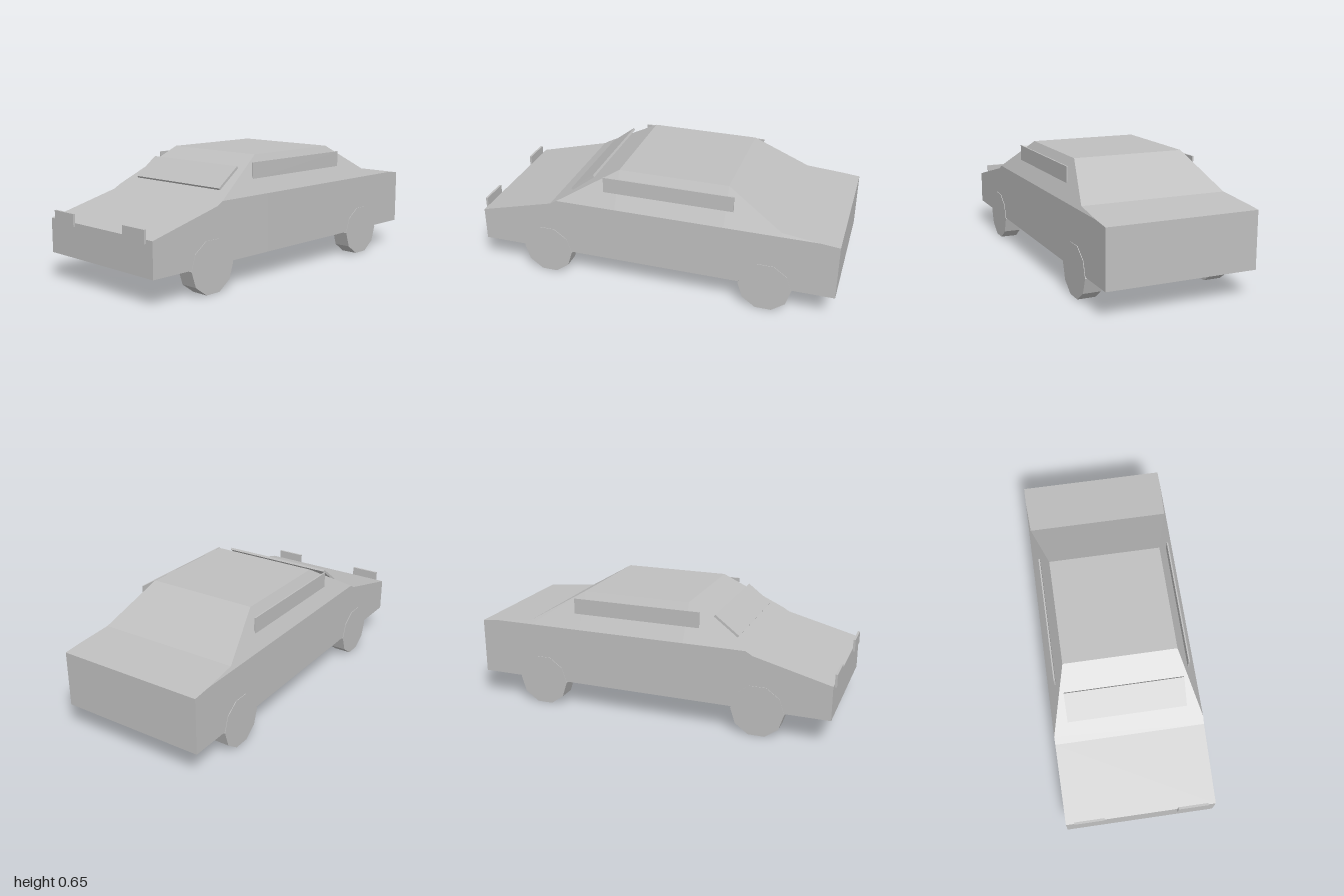
import * as THREE from 'three';

const HALF = 0.405, FLOOR = 0.143, BELT = 0.456;

// [z, roofline height] from nose to tail
const STATIONS = [
  [0.989, 0.327], [0.575, 0.434], [0.537, BELT], [0.2, 0.651],
  [-0.4, 0.651], [-0.7, 0.476], [-0.9, BELT], [-1, 0.446],
];

// Cross-section: upright sides up to the belt line, leaning inwards above it
function section([z, top]) {
  const belt = Math.min(top, BELT);
  const w = HALF - (top - belt) * 0.497;
  return [[HALF, FLOOR], [HALF, belt], [w, top], [-w, top], [-HALF, belt], [-HALF, FLOOR]]
    .map(([x, y]) => new THREE.Vector3(x, y, z));
}

function bodyGeometry() {
  const pos = [];
  const tri = (a, b, c) => {
    if (new THREE.Triangle(a, b, c).getArea() < 1e-7) return;
    for (const p of [a, b, c]) pos.push(p.x, p.y, p.z);
  };
  const rings = STATIONS.map(section);
  for (let i = 0; i < rings.length - 1; i++) {
    const f = rings[i], r = rings[i + 1];
    for (let j = 0; j < 6; j++) {
      const k = (j + 1) % 6;
      tri(f[j], r[j], r[k]);
      tri(f[j], r[k], f[k]);
    }
  }
  // nose and tail panels
  const nose = rings[0], tail = rings[rings.length - 1];
  for (let j = 1; j < 5; j++) {
    tri(nose[0], nose[j], nose[j + 1]);
    tri(tail[0], tail[j + 1], tail[j]);
  }
  const geo = new THREE.BufferGeometry();
  geo.setAttribute('position', new THREE.Float32BufferAttribute(pos, 3));
  geo.computeVertexNormals();
  return geo;
}

export function createModel() {
  const car = new THREE.Group();
  car.name = 'car';
  const grey = new THREE.MeshStandardMaterial({ color: 0xbfbfbf, flatShading: true });
  grey.name = 'light grey';

  const add = (name, geo, x, y, z) => {
    const mesh = new THREE.Mesh(geo, grey);
    mesh.name = name;
    mesh.position.set(x, y, z);
    car.add(mesh);
    return mesh;
  };

  add('body', bodyGeometry(), 0, 0, 0);

  // windscreen panel, a little steeper than the slope behind it
  add('windscreen', new THREE.BoxGeometry(0.645, 0.0125, 0.165), 0, 0.548, 0.41).rotation.x = 0.65;

  const wheel = new THREE.CylinderGeometry(0.143, 0.143, 0.096, 10).rotateZ(Math.PI / 2);
  const sideWindow = new THREE.BoxGeometry(0.008, 0.09, 0.715);
  const headlight = new THREE.BoxGeometry(0.161, 0.068, 0.012);

  for (const [side, s] of [['left', 1], ['right', -1]]) {
    add(side + 'SideWindow', sideWindow, s * 0.362, 0.575, -0.083);
    add(side + 'Headlight', headlight, s * 0.278, 0.341, 0.994);
    add(side + 'FrontWheel', wheel, s * 0.36, 0.136, 0.608);
    add(side + 'RearWheel', wheel, s * 0.36, 0.136, -0.63);
  }
  return car;
}
